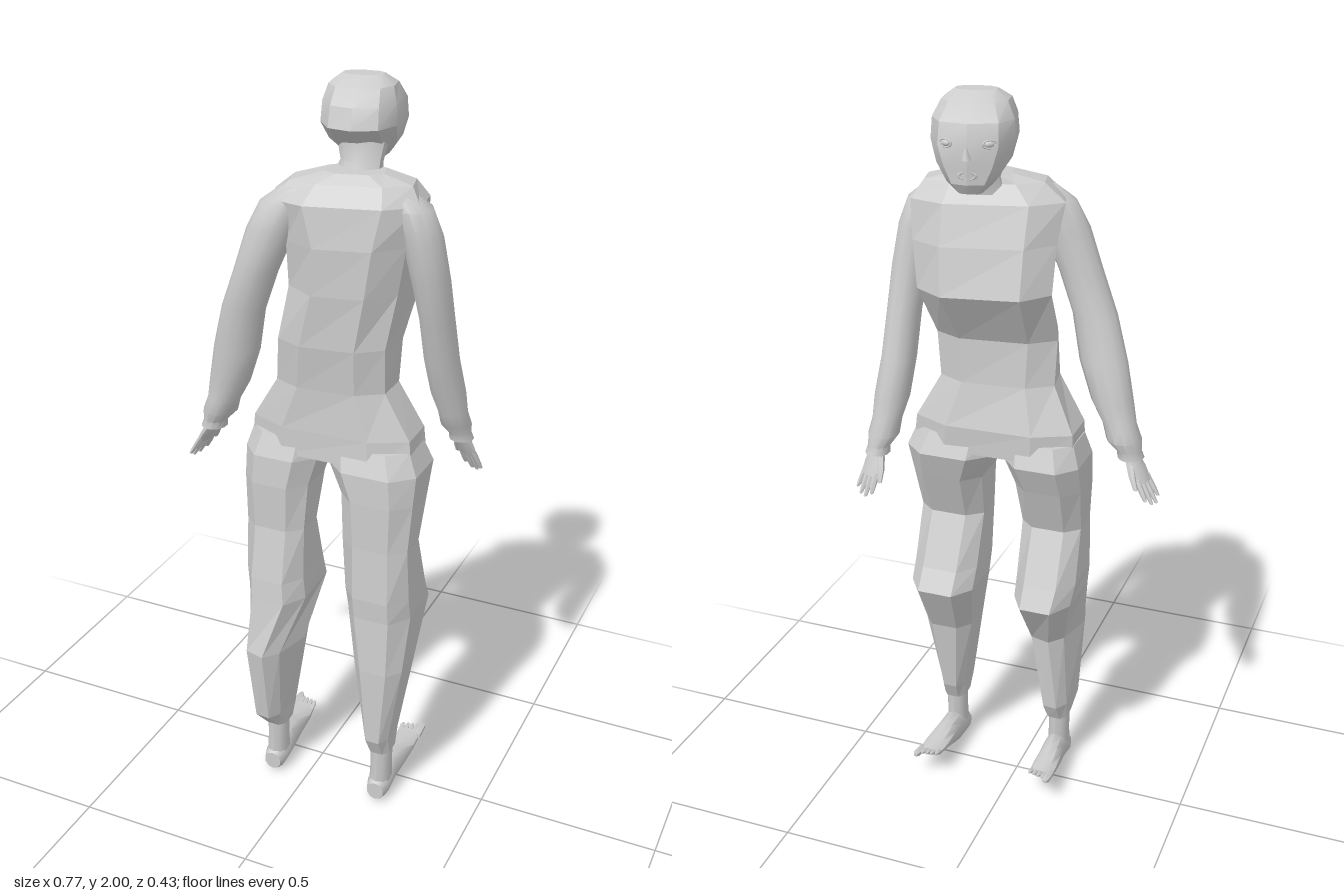
import * as THREE from 'three';
import { toCreasedNormals } from 'three/addons/utils/BufferGeometryUtils.js';

const smoothMat = new THREE.MeshStandardMaterial({ color: 0xcccccc, side: THREE.DoubleSide });
const flatMat = new THREE.MeshStandardMaterial({ color: 0xcccccc, side: THREE.DoubleSide, flatShading: true });

// Skin through horizontal sections, listed bottom to top.
// ring: [x, y, z, halfWidth, halfDepth, yaw, taper]; power < 1 squares the section off,
// taper narrows its +z side and widens its -z side.
function loft(rings, sides = 8, power = 0.7) {
  const pos = [], idx = [];
  const norm = Math.pow(Math.cos(Math.PI / sides), power);
  const sq = v => Math.sign(v) * Math.pow(Math.abs(v), power) / norm;
  rings.forEach(([x, y, z, w, d, yaw = 0, taper = 0]) => {
    const c = Math.cos(yaw), s = Math.sin(yaw);
    for (let j = 0; j < sides; j++) {
      const t = (j + 0.5) / sides * Math.PI * 2;
      const across = sq(Math.cos(t)), depth = sq(Math.sin(t));
      const px = across * w * (1 - taper * depth), pz = depth * d;
      pos.push(x + px * c + pz * s, y, z - px * s + pz * c);
    }
  });
  const last = (rings.length - 1) * sides;
  for (let i = 0; i < last; i += sides) {
    for (let j = 0; j < sides; j++) {
      const a = i + j, b = i + (j + 1) % sides;
      idx.push(a, a + sides, b, b, a + sides, b + sides);
    }
  }
  for (let j = 1; j < sides - 1; j++) {
    idx.push(0, j, j + 1, last, last + j + 1, last + j);
  }
  const geo = new THREE.BufferGeometry();
  geo.setAttribute('position', new THREE.Float32BufferAttribute(pos, 3));
  geo.setIndex(idx);
  geo.computeVertexNormals();
  return geo;
}

function add(parent, name, geo, mat = smoothMat) {
  const mesh = new THREE.Mesh(geo, mat);
  mesh.name = name;
  parent.add(mesh);
  return mesh;
}

const smooth = (rings, sides = 12) => toCreasedNormals(loft(rings, sides, 1), 0.75);

// Palm hanging from the wrist, with four fingers and a thumb
function makeHand(name, wrist, tip, yaw, thumbSide) {
  const hand = new THREE.Group();
  hand.name = name;
  const along = f => wrist.map((v, i) => v + (tip[i] - v) * f);
  const spread = (p, s) => [p[0] + Math.cos(yaw) * s, p[1], p[2] - Math.sin(yaw) * s];
  add(hand, 'palm', smooth([
    [...along(0.55), 0.029, 0.011, yaw],
    [...along(0.3), 0.031, 0.015, yaw],
    [...along(0), 0.023, 0.018, yaw],
    [...along(-0.25), 0.022, 0.02, yaw],
  ], 10));
  for (let i = 0; i < 4; i++) {
    const s = (i - 1.5) * 0.015, reach = [0.9, 1, 0.98, 0.88][i];
    add(hand, 'finger', smooth([
      [...spread(along(reach), s * 1.3), 0.004, 0.004],
      [...spread(along(0.75), s * 1.15), 0.007, 0.007],
      [...spread(along(0.45), s), 0.008, 0.008],
    ], 6));
  }
  add(hand, 'thumb', smooth([
    [...spread(along(0.62), thumbSide * 0.045), 0.005, 0.005],
    [...spread(along(0.4), thumbSide * 0.035), 0.008, 0.008],
    [...spread(along(0.1), thumbSide * 0.015), 0.01, 0.01],
  ], 6));
  return hand;
}

// Bare foot with upturned toes; lofted along its length, then laid down to point at -z
function makeFoot(name, heelX, toeX, stretch) {
  const foot = new THREE.Group();
  foot.name = name;
  const lay = g => g.rotateX(-Math.PI / 2);
  const mid = f => heelX + (toeX - heelX) * f;
  add(foot, 'sole', lay(smooth([
    [heelX, -0.135, 0.034, 0.024, 0.026],
    [heelX, -0.11, 0.04, 0.031, 0.04],
    [heelX, -0.05, 0.055, 0.031, 0.05],
    [mid(0.5), 0, 0.06, 0.032, 0.04],
    [mid(0.8), 0.06, 0.067, 0.035, 0.02],
    [toeX, 0.1 + stretch, 0.073, 0.032, 0.011],
  ], 10)));
  const outer = Math.sign(toeX);
  for (let i = 0; i < 5; i++) {
    const x = toeX + outer * (2 - i) * 0.0135, r = i === 0 ? 0.009 : 0.006;
    const end = (i === 0 ? 0.141 : 0.13 - i * 0.003) + stretch;
    add(foot, 'toe', lay(smooth([
      [x, 0.085 + stretch, 0.073, r, r],
      [x, end - 0.01, 0.081, r, r],
      [x, end, 0.083, r * 0.5, r * 0.5],
    ], 6)));
  }
  add(foot, 'ankle', smooth([
    [heelX, 0.04, 0.092, 0.03, 0.038],
    [heelX, 0.11, 0.09, 0.028, 0.036],
    [heelX, 0.2, 0.09, 0.029, 0.036],
  ], 10));
  return foot;
}

// Head turned slightly aside, with face features
function makeHead() {
  const head = new THREE.Group();
  head.name = 'head';
  head.position.set(0.076, 0, -0.07);
  head.rotation.y = 0.19;
  add(head, 'skull', toCreasedNormals(loft([
    [0, 1.775, -0.085, 0.03, 0.03],
    [0, 1.8, -0.065, 0.058, 0.065],
    [0, 1.84, -0.035, 0.085, 0.095],
    [0, 1.89, 0, 0.098, 0.132, 0, 0.1],
    [0, 1.94, 0, 0.095, 0.115, 0, 0.1],
    [0, 1.978, 0, 0.08, 0.075],
    [0, 2, 0, 0.05, 0.03],
  ], 10, 0.8), 0.42));
  for (const s of [-1, 1]) {
    const eye = new THREE.Group();
    eye.name = 'eye';
    eye.position.set(s * 0.052, 1.895, -0.12);
    eye.rotation.y = -s * 0.45;
    eye.scale.y = 0.6;
    add(eye, 'eyelid', new THREE.TorusGeometry(0.016, 0.003, 6, 14));
    add(eye, 'eyeball', new THREE.SphereGeometry(0.012, 10, 8)).scale.z = 0.5;
    head.add(eye);
  }
  add(head, 'nose', new THREE.ConeGeometry(0.012, 0.04, 6)).position.set(0, 1.88, -0.134);
  const mouth = add(head, 'mouth', new THREE.TorusGeometry(0.02, 0.005, 6, 16));
  mouth.position.set(0, 1.822, -0.127);
  mouth.scale.y = 0.45;
  return head;
}

export function createModel() {
  const figure = new THREE.Group();
  figure.name = 'figure';

  // Tunic, twisting gradually from hips to shoulders, broader across the chest than the back
  add(figure, 'torso', loft([
    [0.06, 1.045, 0.025, 0.225, 0.1],
    [0.056, 1.12, 0.022, 0.218, 0.1, 0.02],
    [0.055, 1.24, 0.035, 0.15, 0.085, 0.08, 0.05],
    [0.06, 1.36, 0.045, 0.15, 0.09, 0.12, 0.12],
    [0.075, 1.5, 0, 0.155, 0.138, 0.18, 0.2],
    [0.083, 1.62, 0.014, 0.165, 0.122, 0.22, 0.18],
    [0.08, 1.72, 0.024, 0.188, 0.098, 0.24, 0.05],
    [0.09, 1.765, 0.02, 0.15, 0.065, 0.24],
    [0.092, 1.787, 0.01, 0.072, 0.05, 0.24],
  ]), flatMat);
  add(figure, 'neck', smooth([
    [0.085, 1.74, -0.01, 0.065, 0.05],
    [0.09, 1.8, -0.032, 0.052, 0.036],
    [0.085, 1.86, -0.05, 0.065, 0.05],
  ], 10));
  figure.add(makeHead());

  // Sleeves with gathered cuffs
  add(figure, 'rightArm', smooth([
    [-0.3, 1.05, 0.05, 0.034, 0.038],
    [-0.295, 1.07, 0.05, 0.031, 0.036],
    [-0.28, 1.1, 0.05, 0.045, 0.05],
    [-0.265, 1.14, 0.055, 0.043, 0.044],
    [-0.242, 1.2, 0.06, 0.054, 0.048],
    [-0.212, 1.3, 0.072, 0.062, 0.046],
    [-0.18, 1.42, 0.09, 0.057, 0.046],
    [-0.138, 1.53, 0.097, 0.056, 0.05],
    [-0.095, 1.64, 0.095, 0.062, 0.052],
    [-0.065, 1.71, 0.085, 0.058, 0.048],
    [-0.03, 1.75, 0.075, 0.04, 0.032],
  ]));
  add(figure, 'leftArm', smooth([
    [0.337, 1.05, -0.152, 0.032, 0.033],
    [0.334, 1.07, -0.147, 0.029, 0.031],
    [0.325, 1.1, -0.135, 0.04, 0.043],
    [0.32, 1.14, -0.12, 0.038, 0.042],
    [0.31, 1.2, -0.105, 0.045, 0.05],
    [0.3, 1.3, -0.075, 0.044, 0.054],
    [0.294, 1.42, -0.045, 0.043, 0.055],
    [0.285, 1.53, -0.015, 0.047, 0.058],
    [0.265, 1.64, 0, 0.05, 0.06],
    [0.24, 1.71, 0.008, 0.05, 0.055],
    [0.2, 1.75, 0.015, 0.04, 0.035],
  ]));
  figure.add(makeHand('rightHand', [-0.298, 1.06, 0.05], [-0.375, 0.935, 0.025], 1.25, 1));
  figure.add(makeHand('leftHand', [0.335, 1.06, -0.15], [0.362, 0.94, -0.202], -0.45, -1));

  // Loose trousers flaring at the hips and gathered at the ankles
  add(figure, 'rightLeg', loft([
    [-0.098, 0.165, 0.09, 0.032, 0.04],
    [-0.1, 0.22, 0.1, 0.038, 0.078, -0.1],
    [-0.088, 0.45, 0.112, 0.052, 0.1, -0.25],
    [-0.085, 0.61, 0.04, 0.083, 0.138, 0, -0.05],
    [-0.09, 0.67, 0.05, 0.085, 0.12],
    [-0.09, 0.82, 0.068, 0.084, 0.074],
    [-0.09, 0.95, 0.045, 0.092, 0.1],
    [-0.08, 1.03, 0.025, 0.103, 0.114],
    [-0.07, 1.09, 0.025, 0.095, 0.09],
  ]), flatMat);
  add(figure, 'leftLeg', loft([
    [0.225, 0.165, 0.09, 0.032, 0.04],
    [0.222, 0.22, 0.09, 0.036, 0.066],
    [0.22, 0.45, 0.072, 0.07, 0.085],
    [0.208, 0.61, 0.022, 0.091, 0.125],
    [0.205, 0.67, 0.04, 0.092, 0.11],
    [0.2, 0.82, 0.068, 0.092, 0.074],
    [0.198, 0.95, 0.042, 0.1, 0.1],
    [0.18, 1.03, 0.025, 0.122, 0.114],
    [0.165, 1.09, 0.025, 0.112, 0.09],
  ]), flatMat);
  figure.add(makeFoot('rightFoot', -0.1, -0.108, 0));
  figure.add(makeFoot('leftFoot', 0.225, 0.232, 0.015));

  return figure;
}
